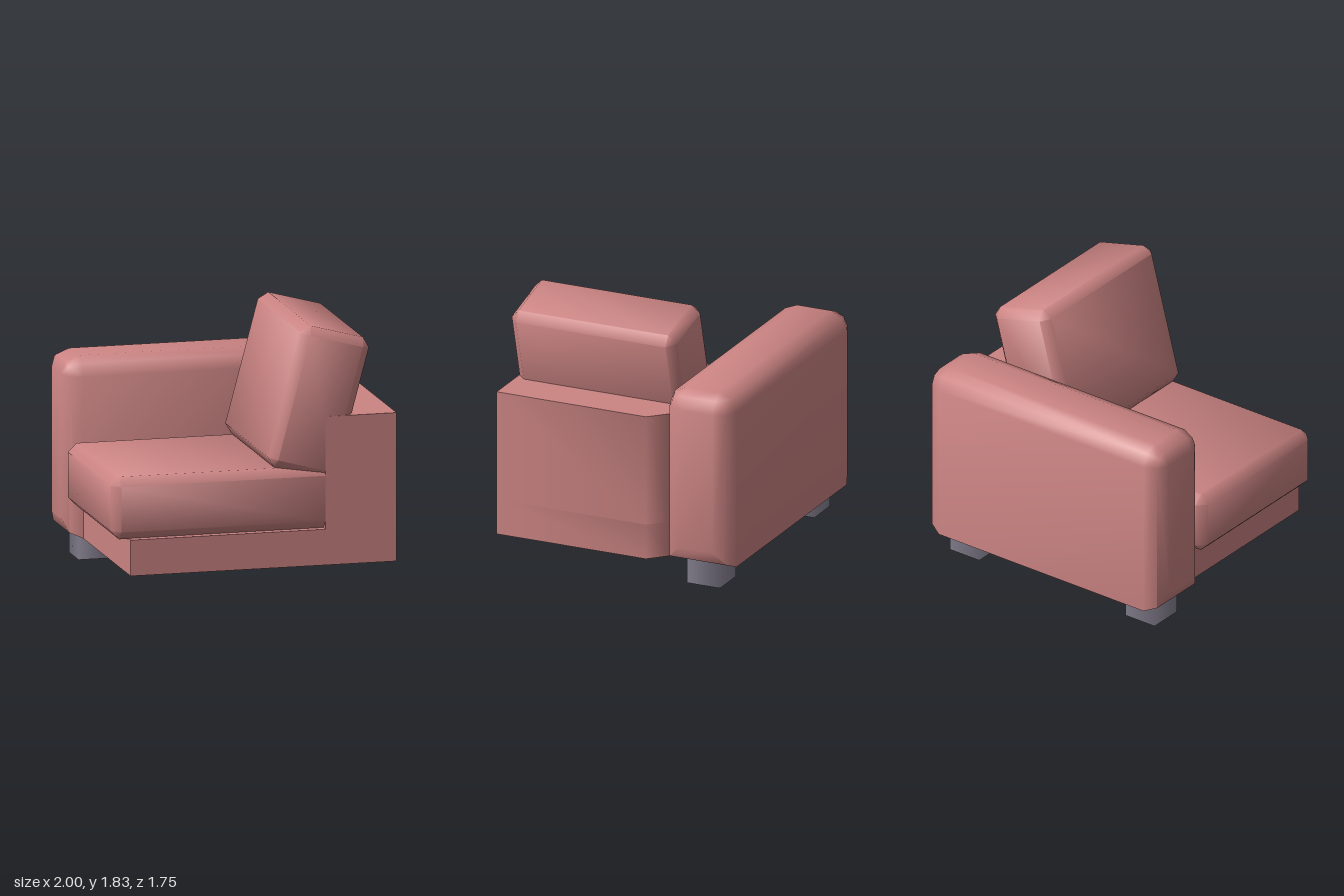
import * as THREE from 'three';
import { toCreasedNormals } from 'three/addons/utils/BufferGeometryUtils.js';
import { ConvexGeometry } from 'three/addons/geometries/ConvexGeometry.js';

const CREASE = 1.0; // bevels shade smoothly, right angles stay sharp

// Box with bevelled edges; sharpBottom keeps the long lower edges square
function bevelledBox(w, h, d, r, segments, sharpBottom = false) {
  const points = [];
  for (const sx of [-1, 1]) for (const sy of [-1, 1]) for (const sz of [-1, 1]) {
    for (let i = 0; i <= segments; i++) {
      const a = (i / segments) * Math.PI / 2;
      const x = w / 2 - r + r * Math.cos(a);
      const ring = r * Math.sin(a);
      for (let j = 0; j <= (i === 0 ? 0 : segments); j++) {
        const b = (j / segments) * Math.PI / 2;
        const square = sharpBottom && sy < 0;
        if (square && j > 0) continue;
        const y = h / 2 - r + ring * (square ? 1 : Math.sin(b));
        const z = d / 2 - r + ring * (square ? 1 : Math.cos(b));
        points.push(new THREE.Vector3(sx * x, sy * y, sz * z));
      }
    }
  }
  return toCreasedNormals(new ConvexGeometry(points), CREASE);
}

// Upright block with one back corner cut off, raised from a plan outline
function cutCornerBlock(x0, x1, y0, y1, z0, z1, cut) {
  const plan = new THREE.Shape([
    [x0, -z1], [x1, -z1], [x1, -z0 - cut], [x1 - cut, -z0], [x0, -z0],
  ].map(([x, y]) => new THREE.Vector2(x, y)));
  const geometry = new THREE.ExtrudeGeometry(plan, { depth: y1 - y0, bevelEnabled: false });
  geometry.rotateX(-Math.PI / 2).translate(0, y0, 0);
  return toCreasedNormals(geometry, CREASE);
}

export function createModel() {
  const fabric = new THREE.MeshStandardMaterial({ name: 'rose fabric', color: 0xcb8483 });
  const legPaint = new THREE.MeshStandardMaterial({ name: 'grey leg', color: 0x827d8d });
  const model = new THREE.Group();
  model.name = 'cornerSofa';

  const add = (name, geometry, material, x = 0, y = 0, z = 0) => {
    const mesh = new THREE.Mesh(geometry, material);
    mesh.name = name;
    mesh.position.set(x, y, z);
    model.add(mesh);
    return mesh;
  };

  // Frame: low plinth and armrest share the cut back corner
  add('base', cutCornerBlock(-0.875, 1, 0.175, 0.425, -0.375, 0.875, 0.125), fabric);
  add('armrest', cutCornerBlock(0.5, 1, 0.425, 1.21, -0.375, 0.875, 0.125), fabric);

  // Backrest
  add('backrest', bevelledBox(2, 1.25, 0.5, 0.125, 2, true), fabric, 0, 0.8, -0.625);

  // Seat cushion, its far end tucked into the armrest
  add('seatCushion', bevelledBox(1.56, 0.435, 1.248, 0.06, 1), fabric, -0.22, 0.6395, 0.25);

  // Loose cushion leaning on the armrest
  const pillow = add('leaningCushion', bevelledBox(0.5, 1.005, 1.246, 0.06, 1), fabric, 0.465, 1.3, 0.25);
  pillow.rotation.z = -Math.PI / 12;

  // Two square legs under the backrest
  for (const side of [-1, 1]) {
    const leg = new THREE.CylinderGeometry(0.177, 0.177, 0.175, 4).rotateY(Math.PI / 4);
    add(side > 0 ? 'leftLeg' : 'rightLeg', leg, legPaint, side * 0.75, 0.0875, -0.625);
  }
  return model;
}
